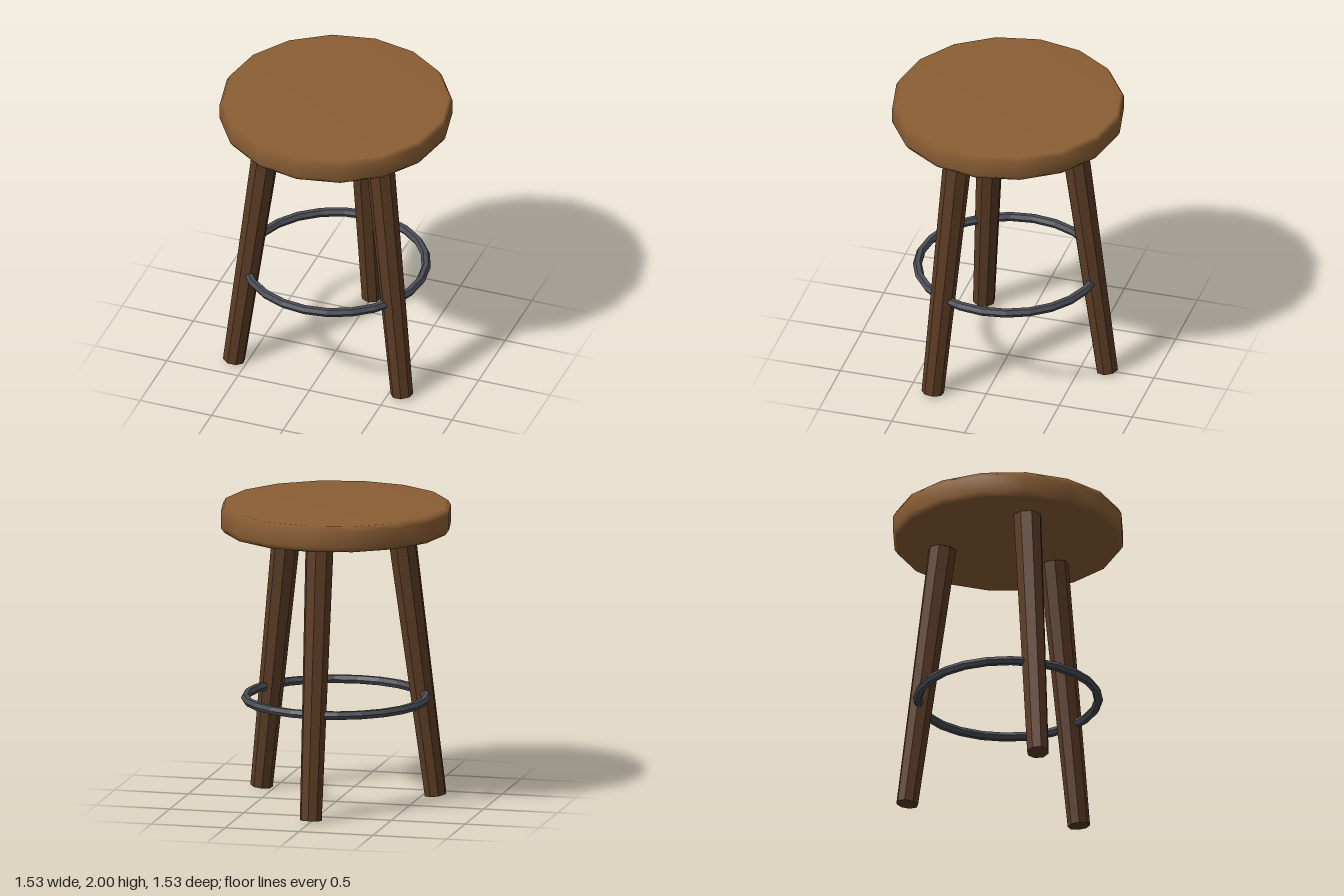
import * as THREE from 'three';

const material = (color, flatShading = false) => {
  const m = new THREE.MeshStandardMaterial({ color });
  m.flatShading = flatShading;
  return m;
};

export function createModel() {
  const stool = new THREE.Group();
  stool.name = 'stool';

  // Sixteen-sided round seat with softened edges
  const profile = [
    [0, 1.825], [0.74, 1.825], [0.765, 1.86], [0.765, 1.965], [0.745, 2], [0, 2],
  ].map(([r, y]) => new THREE.Vector2(r, y));
  const seat = new THREE.Mesh(new THREE.LatheGeometry(profile, 16), material(0x8b5e34));
  seat.name = 'seat';
  stool.add(seat);

  // Three tapered octagonal legs, splayed outward; one at the back
  const top = new THREE.Vector3(0, 1.823, 0.442);
  const foot = new THREE.Vector3(0, 0.01, 0.68);
  const axis = top.clone().sub(foot);
  const legGeometry = new THREE.CylinderGeometry(0.095, 0.074, axis.length(), 8);
  const legMaterial = material(0x5a3b24, true);
  const names = ['legFrontLeft', 'legBack', 'legFrontRight'];
  names.forEach((name, i) => {
    const leg = new THREE.Mesh(legGeometry, legMaterial);
    leg.position.copy(top).add(foot).multiplyScalar(0.5);
    leg.quaternion.setFromUnitVectors(new THREE.Vector3(0, 1, 0), axis.clone().normalize());
    const pivot = new THREE.Group();
    pivot.name = name;
    pivot.rotation.y = Math.PI / 3 + (i * Math.PI * 2) / 3;
    pivot.add(leg);
    stool.add(pivot);
  });

  // Metal foot ring passing through the legs
  const ring = new THREE.Mesh(new THREE.TorusGeometry(0.595, 0.03, 6, 24), material(0x4a4d55, true));
  ring.name = 'footRing';
  ring.rotation.x = Math.PI / 2;
  ring.position.y = 0.7;
  stool.add(ring);

  return stool;
}
